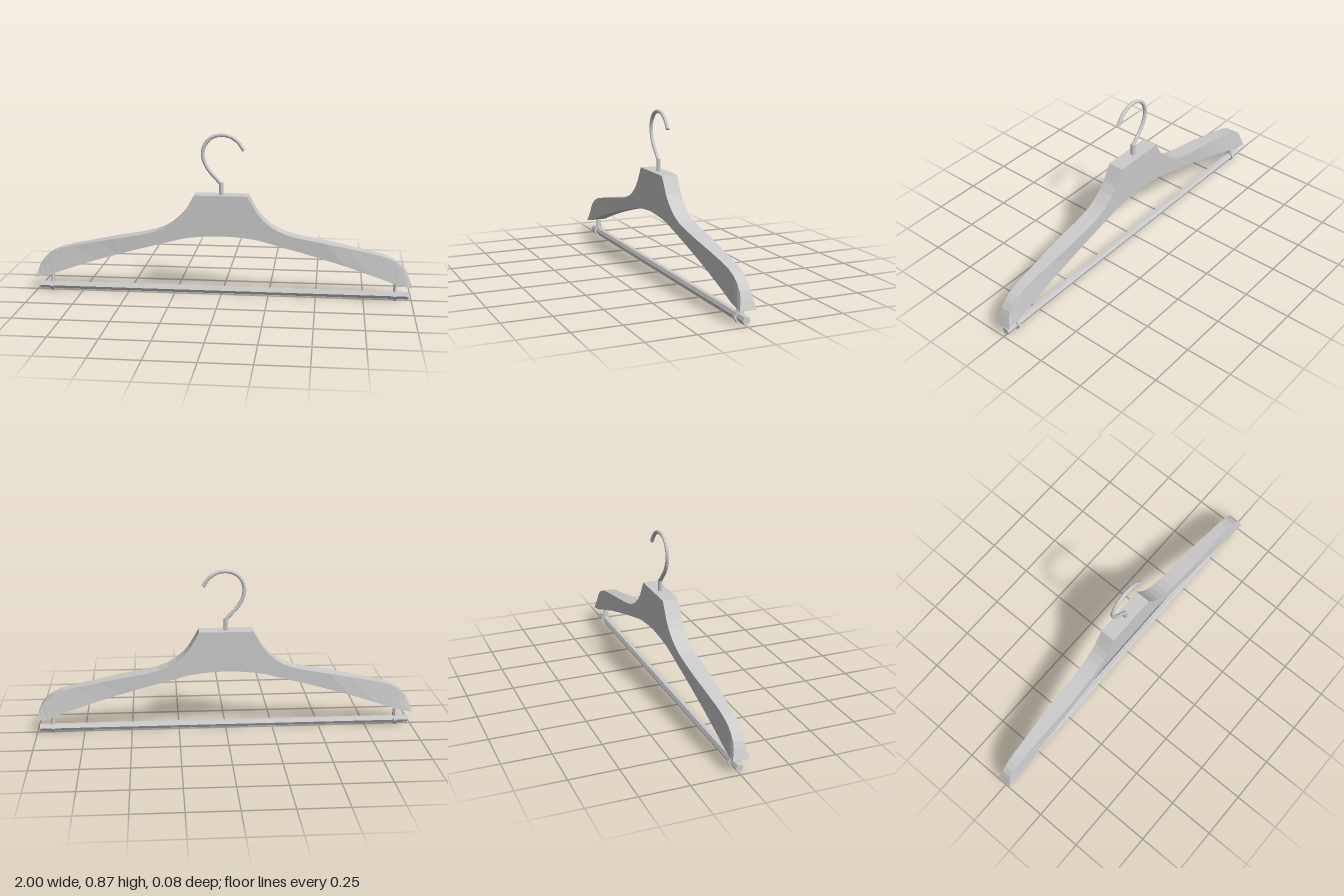
import * as THREE from 'three';

const material = new THREE.MeshStandardMaterial({ color: 0xcccccc, flatShading: true });

function add(group, name, geometry, x = 0, y = 0, z = 0) {
  const mesh = new THREE.Mesh(geometry, material);
  mesh.name = name;
  mesh.position.set(x, y, z);
  group.add(mesh);
  return mesh;
}

// Half profile of the wooden body: x, top edge, bottom edge, half depth at the top
const sections = [
  [0, 0.545, 0.331, 0.042], [0.08, 0.545, 0.327, 0.042], [0.14, 0.545, 0.321, 0.042],
  [0.165, 0.5, 0.318, 0.042], [0.19, 0.458, 0.314, 0.042], [0.22, 0.422, 0.307, 0.042],
  [0.26, 0.388, 0.296, 0.042], [0.3, 0.364, 0.286, 0.042], [0.35, 0.344, 0.272, 0.042],
  [0.42, 0.327, 0.254, 0.042], [0.55, 0.304, 0.217, 0.042], [0.66, 0.282, 0.184, 0.036],
  [0.8, 0.253, 0.137, 0.03], [0.86, 0.238, 0.116, 0.029], [0.91, 0.216, 0.097, 0.028],
  [0.945, 0.19, 0.088, 0.028], [0.97, 0.158, 0.084, 0.028], [0.982, 0.13, 0.081, 0.03],
  [1, 0.079, 0.077, 0.042],
];

// Loft four-cornered cross-sections from one shoulder tip to the other
function bodyGeometry() {
  const mirrored = sections.slice(1).reverse().map(([x, ...rest]) => [-x, ...rest]);
  const rings = [...mirrored, ...sections];
  const depth = 0.042;
  const positions = [];
  const index = [];
  for (const [x, top, bottom, d] of rings) {
    positions.push(x, top, d, x, top, -d, x, bottom, -depth, x, bottom, depth);
  }
  for (let i = 0; i < rings.length - 1; i++) {
    for (let k = 0; k < 4; k++) {
      const a = i * 4 + k, b = i * 4 + (k + 1) % 4;
      index.push(a, a + 4, b, b, a + 4, b + 4);
    }
  }
  const e = (rings.length - 1) * 4;
  index.push(0, 1, 2, 0, 2, 3, e, e + 2, e + 1, e, e + 3, e + 2);
  const geometry = new THREE.BufferGeometry();
  geometry.setAttribute('position', new THREE.Float32BufferAttribute(positions, 3));
  geometry.setIndex(index);
  const flat = geometry.toNonIndexed();
  flat.computeVertexNormals();
  return flat;
}

// Bent wire hook with closed tip
function addHook(group) {
  const points = [
    [0, 0.6], [-0.03, 0.634], [-0.065, 0.673], [-0.09, 0.72], [-0.097, 0.765], [-0.084, 0.81],
    [-0.052, 0.844], [-0.01, 0.858], [0.04, 0.853], [0.085, 0.825], [0.117, 0.78],
  ].map(([x, y]) => new THREE.Vector3(x, y, 0));
  const curve = new THREE.CatmullRomCurve3(points);
  add(group, 'hookWire', new THREE.TubeGeometry(curve, 24, 0.01, 8));
  const tip = add(group, 'hookTip', new THREE.CylinderGeometry(0.01, 0.01, 0.002, 8), 0.117, 0.78);
  tip.quaternion.setFromUnitVectors(new THREE.Vector3(0, 1, 0), curve.getTangent(1));
  add(group, 'hookStem', new THREE.CylinderGeometry(0.012, 0.012, 0.07, 8), 0, 0.574);
}

// Hexagonal rod lying along x
const hexRod = (radius, length) =>
  new THREE.CylinderGeometry(radius, radius, length, 6).rotateZ(Math.PI / 2);

export function createModel() {
  const model = new THREE.Group();
  model.name = 'clothesHanger';
  add(model, 'body', bodyGeometry());

  const hook = new THREE.Group();
  hook.name = 'hook';
  addHook(hook);
  model.add(hook);

  // Trouser bar hung from a collar and post at each end
  const barY = 0.026;
  add(model, 'trouserBar', hexRod(0.02, 1.97), 0, barY);
  for (const [side, s] of [['left', 1], ['right', -1]]) {
    add(model, side + 'Collar', hexRod(0.03, 0.014), s * 0.915, barY);
    const post = new THREE.CylinderGeometry(0.011, 0.02, 0.058, 6).scale(0.6, 1, 1);
    add(model, side + 'Post', post, s * 0.915, 0.074);
  }
  return model;
}
